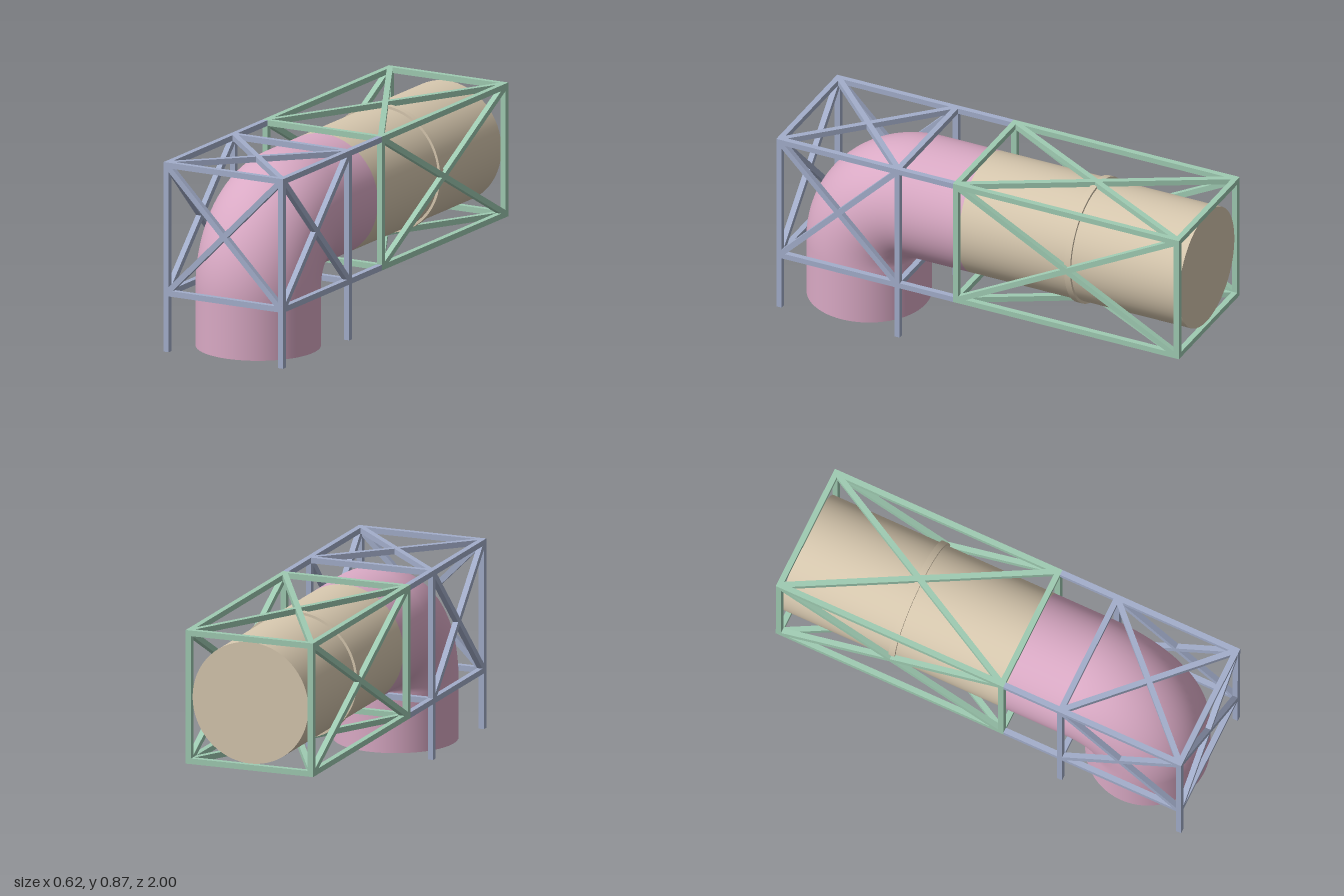
import * as THREE from 'three';

const mat = (color) => new THREE.MeshStandardMaterial({ color });
const X = 0.295, TOP = 0.86, LOW = 0.27, BAR = 0.026;   // frame centre lines
const FRONT = 0.987, MID = 0.4, JOIN = 0.11, BACK = -0.987;
const R = 0.28, BEND = 0.29, AXIS_Y = 0.565, AXIS_Z = 0.69;

// Square bar between two points
function bar(group, name, material, a, b) {
  const from = new THREE.Vector3(...a), to = new THREE.Vector3(...b);
  const mesh = new THREE.Mesh(new THREE.BoxGeometry(BAR, BAR, from.distanceTo(to) + BAR), material);
  mesh.position.copy(from).add(to).multiplyScalar(0.5);
  mesh.lookAt(to);
  mesh.name = name;
  group.add(mesh);
}

// Two crossing diagonals on a panel with corners a, b, c, d in order;
// the ends are pulled in slightly so they stay inside the corner joints
function cross(group, material, a, b, c, d) {
  for (const [p, q] of [[a, c], [b, d]]) {
    const s = new THREE.Vector3(...p), e = new THREE.Vector3(...q);
    const inset = e.clone().sub(s).setLength(BAR * 0.6);
    bar(group, 'diagonalBrace', material, s.add(inset).toArray(), e.sub(inset).toArray());
  }
}

// Horizontal pipe along z
function pipeZ(name, material, radius, z0, z1) {
  const geo = new THREE.CylinderGeometry(radius, radius, Math.abs(z1 - z0), 64).rotateX(Math.PI / 2);
  const mesh = new THREE.Mesh(geo, material);
  mesh.position.set(0, AXIS_Y, (z0 + z1) / 2);
  mesh.name = name;
  return mesh;
}

export function createModel() {
  const model = new THREE.Group();
  const pink = mat(0xd9a9c4), tan = mat(0xd6c7ae), blue = mat(0xa3aecb), green = mat(0x9fcbb2);

  // Elbow duct: upright inlet, quarter bend, horizontal run
  const elbow = new THREE.Group();
  elbow.name = 'elbowDuct';
  const bendY = AXIS_Y - BEND;
  const inlet = new THREE.Mesh(new THREE.CylinderGeometry(R, R, bendY, 64), pink);
  inlet.position.set(0, bendY / 2, AXIS_Z);
  inlet.name = 'inlet';
  const bend = new THREE.Mesh(
    new THREE.TorusGeometry(BEND, R, 64, 40, Math.PI / 2).rotateY(-Math.PI / 2), pink);
  bend.position.set(0, bendY, MID);
  bend.name = 'bend';
  elbow.add(inlet, bend, pipeZ('elbowRun', pink, R, MID, JOIN));
  model.add(elbow);

  // Straight duct with a narrow collar at its middle
  const straight = new THREE.Group();
  straight.name = 'straightDuct';
  straight.add(pipeZ('duct', tan, R, JOIN, BACK), pipeZ('collar', tan, 0.292, -0.422, -0.452));
  model.add(straight);

  // Front frame on four legs
  const frontFrame = new THREE.Group();
  frontFrame.name = 'frontFrame';
  for (const x of [-X, X]) {
    for (const z of [FRONT, MID]) bar(frontFrame, 'leg', blue, [x, BAR / 2, z], [x, TOP, z]);
    for (const y of [LOW, TOP]) bar(frontFrame, 'sideRail', blue, [x, y, FRONT], [x, y, JOIN + BAR]);
    cross(frontFrame, blue, [x, LOW, FRONT], [x, TOP, FRONT], [x, TOP, MID], [x, LOW, MID]);
  }
  for (const y of [LOW, TOP])
    for (const z of [FRONT, MID]) bar(frontFrame, 'crossRail', blue, [-X, y, z], [X, y, z]);
  cross(frontFrame, blue, [-X, LOW, FRONT], [X, LOW, FRONT], [X, TOP, FRONT], [-X, TOP, FRONT]);
  cross(frontFrame, blue, [-X, TOP, FRONT], [X, TOP, FRONT], [X, TOP, MID], [-X, TOP, MID]);
  model.add(frontFrame);

  // Rear frame, braced on the sides, top and bottom
  const rearFrame = new THREE.Group();
  rearFrame.name = 'rearFrame';
  for (const x of [-X, X]) {
    for (const z of [JOIN, BACK]) bar(rearFrame, 'post', green, [x, LOW, z], [x, TOP, z]);
    for (const y of [LOW, TOP]) bar(rearFrame, 'sideRail', green, [x, y, JOIN], [x, y, BACK]);
    cross(rearFrame, green, [x, LOW, JOIN], [x, TOP, JOIN], [x, TOP, BACK], [x, LOW, BACK]);
  }
  for (const y of [LOW, TOP]) {
    for (const z of [JOIN, BACK]) bar(rearFrame, 'crossRail', green, [-X, y, z], [X, y, z]);
    cross(rearFrame, green, [-X, y, JOIN], [X, y, JOIN], [X, y, BACK], [-X, y, BACK]);
  }
  model.add(rearFrame);
  return model;
}
